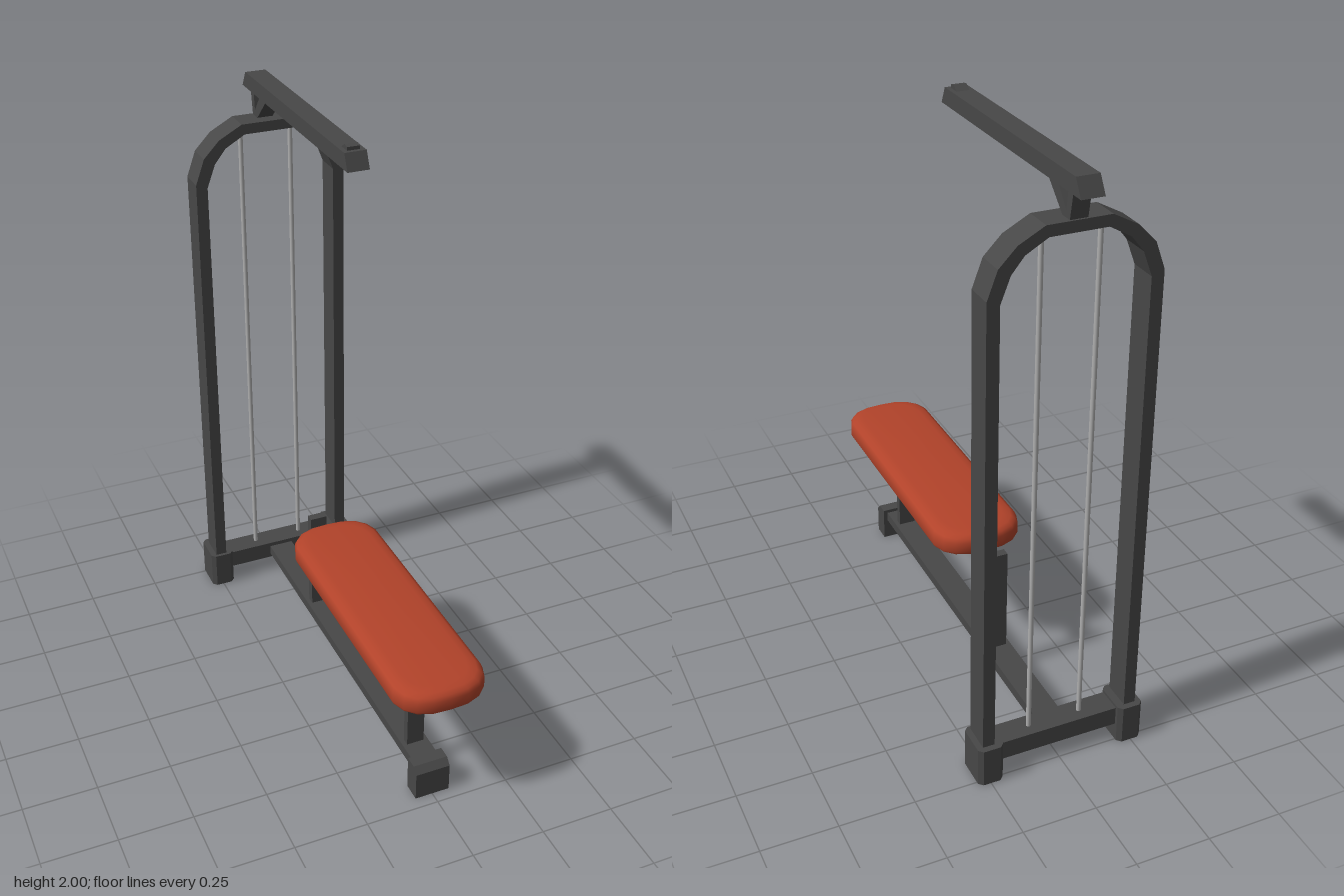
import * as THREE from 'three';
import { toCreasedNormals } from 'three/addons/utils/BufferGeometryUtils.js';

const frameMat = new THREE.MeshStandardMaterial({ color: 0x474747 });
frameMat.name = 'dark steel';
const padMat = new THREE.MeshStandardMaterial({ color: 0xb2432a });
padMat.name = 'orange upholstery';
const rodMat = new THREE.MeshStandardMaterial({ color: 0xb0b0b0 });
rodMat.name = 'bright steel';

function add(group, name, geometry, material = frameMat) {
  const mesh = new THREE.Mesh(geometry, material);
  mesh.name = name;
  group.add(mesh);
  return mesh;
}

const toShape = (pts) => new THREE.Shape(pts.map(([a, b]) => new THREE.Vector2(a, b)));

// Side profile of [z, y] points, given a width across x
function sideProfile(pts, width) {
  const g = new THREE.ExtrudeGeometry(toShape(pts), { depth: width, bevelEnabled: false });
  return g.rotateY(-Math.PI / 2).translate(width / 2, 0, 0);
}

// Box from its limits
function box(x0, x1, y0, y1, z0, z1) {
  return new THREE.BoxGeometry(x1 - x0, y1 - y0, z1 - z0)
    .translate((x0 + x1) / 2, (y0 + y1) / 2, (z0 + z1) / 2);
}

// Upright hoop: half outline mirrored, outer edge then inner edge
function hoopGeometry() {
  const outer = [[0.27, 0.06], [0.27, 1.66], [0.238, 1.748], [0.182, 1.806], [0.1, 1.85]];
  const inner = [[0.23, 0.06], [0.23, 1.645], [0.2, 1.725], [0.16, 1.775], [0.09, 1.815]];
  const mirror = (pts) => pts.map(([x, y]) => [-x, y]);
  const pts = [
    ...outer, ...mirror(outer).reverse(),
    ...mirror(inner), ...[...inner].reverse(),
  ];
  return new THREE.ExtrudeGeometry(toShape(pts), { depth: 0.095, bevelEnabled: false })
    .translate(0, 0, -0.75);
}

// Foot block with chamfered upright corners
function footGeometry(x) {
  const w = 0.043, d = 0.064, c = 0.014;
  const pts = [
    [w - c, -d], [w, c - d], [w, d - c], [w - c, d],
    [c - w, d], [-w, d - c], [-w, c - d], [c - w, -d],
  ];
  return new THREE.ExtrudeGeometry(toShape(pts), { depth: 0.135, bevelEnabled: false })
    .rotateX(-Math.PI / 2).translate(x, 0, -0.707);
}

// Bench pad: one plan outline stacked in rings, with a rounded top edge
function padGeometry() {
  const hw = 0.155, hl = 0.5025;
  const q = [[0, hl], [0.06, 0.499], [0.108, 0.481], [0.139, 0.45], [hw, 0.405]];
  const right = [...q, ...[...q].reverse().map(([x, z]) => [x, -z])];
  const left = right.slice(1, -1).reverse().map(([x, z]) => [-x, z]);
  const outline = [...right, ...left];
  const rings = [[0.003, 0.445], [0, 0.453], [0, 0.488], [0.006, 0.503], [0.02, 0.512], [0.045, 0.516]];
  const n = outline.length;
  const pos = [], idx = [];
  for (const [inset, y] of rings) {
    for (const [x, z] of outline) {
      pos.push(x * (1 - inset / hw), y, z * (1 - inset / hl) + 0.3125);
    }
  }
  const bottom = rings.length * n, top = bottom + 1;
  pos.push(0, 0.445, 0.3125, 0, 0.517, 0.3125);
  const last = (rings.length - 1) * n;
  for (let j = 0; j < n; j++) {
    const k = (j + 1) % n;
    for (let r = 0; r < last; r += n) {
      idx.push(r + j, r + k, r + n + k, r + j, r + n + k, r + n + j);
    }
    idx.push(bottom, k, j, top, last + j, last + k);
  }
  const g = new THREE.BufferGeometry();
  g.setAttribute('position', new THREE.Float32BufferAttribute(pos, 3));
  g.setIndex(idx);
  return toCreasedNormals(g, 0.9);
}

export function createModel() {
  const model = new THREE.Group();
  model.name = 'pulldownMachine';

  // Rear tower
  const tower = new THREE.Group();
  tower.name = 'tower';
  model.add(tower);
  add(tower, 'hoop', hoopGeometry());
  add(tower, 'crossBeam', box(-0.24, 0.24, 0.06, 0.125, -0.745, -0.66));
  for (const [side, s] of [['left', 1], ['right', -1]]) {
    add(tower, side + 'Foot', footGeometry(s * 0.247));
    add(tower, side + 'GuideRod',
      new THREE.CylinderGeometry(0.008, 0.008, 1.72, 10).translate(s * 0.09, 0.97, -0.703), rodMat);
  }

  // Overhead arm with its struts and end hook
  const arm = new THREE.Group();
  arm.name = 'overheadArm';
  model.add(arm);
  add(arm, 'armBeam', sideProfile([[0.09, 1.932], [0.066, 1.985], [-0.783, 1.985], [-0.815, 1.932]], 0.072));
  add(arm, 'frontStrut', sideProfile([[-0.608, 1.935], [-0.668, 1.935], [-0.742, 1.845], [-0.705, 1.845]], 0.055));
  add(arm, 'rearStrut', sideProfile([[-0.73, 1.935], [-0.758, 1.935], [-0.742, 1.845], [-0.718, 1.845]], 0.055));
  add(arm, 'endHook', sideProfile([[0.052, 1.98], [0.052, 1.996], [0.033, 2], [0.008, 1.984], [0.008, 1.98]], 0.042));

  // Floor rail and front foot
  const base = new THREE.Group();
  base.name = 'base';
  model.add(base);
  add(base, 'floorRail', box(-0.045, 0.045, 0.075, 0.11, -0.665, 0.65));
  add(base, 'frontFoot', sideProfile(
    [[0.709, 0], [0.709, 0.1], [0.688, 0.122], [0.645, 0.122], [0.645, 0]], 0.12));

  // Bench: bent support tube, rear post and pad
  const bench = new THREE.Group();
  bench.name = 'bench';
  model.add(bench);
  add(bench, 'bentSupport', sideProfile([
    [0.575, 0.105], [0.575, 0.29], [0.55, 0.363], [0.487, 0.427], [0.4, 0.448], [-0.26, 0.448],
    [-0.26, 0.418], [0.4, 0.418], [0.47, 0.402], [0.525, 0.348], [0.549, 0.285], [0.549, 0.105],
  ], 0.06));
  add(bench, 'rearPost', box(-0.03, 0.03, 0.105, 0.485, -0.286, -0.256));
  add(bench, 'pad', padGeometry(), padMat);

  return model;
}
